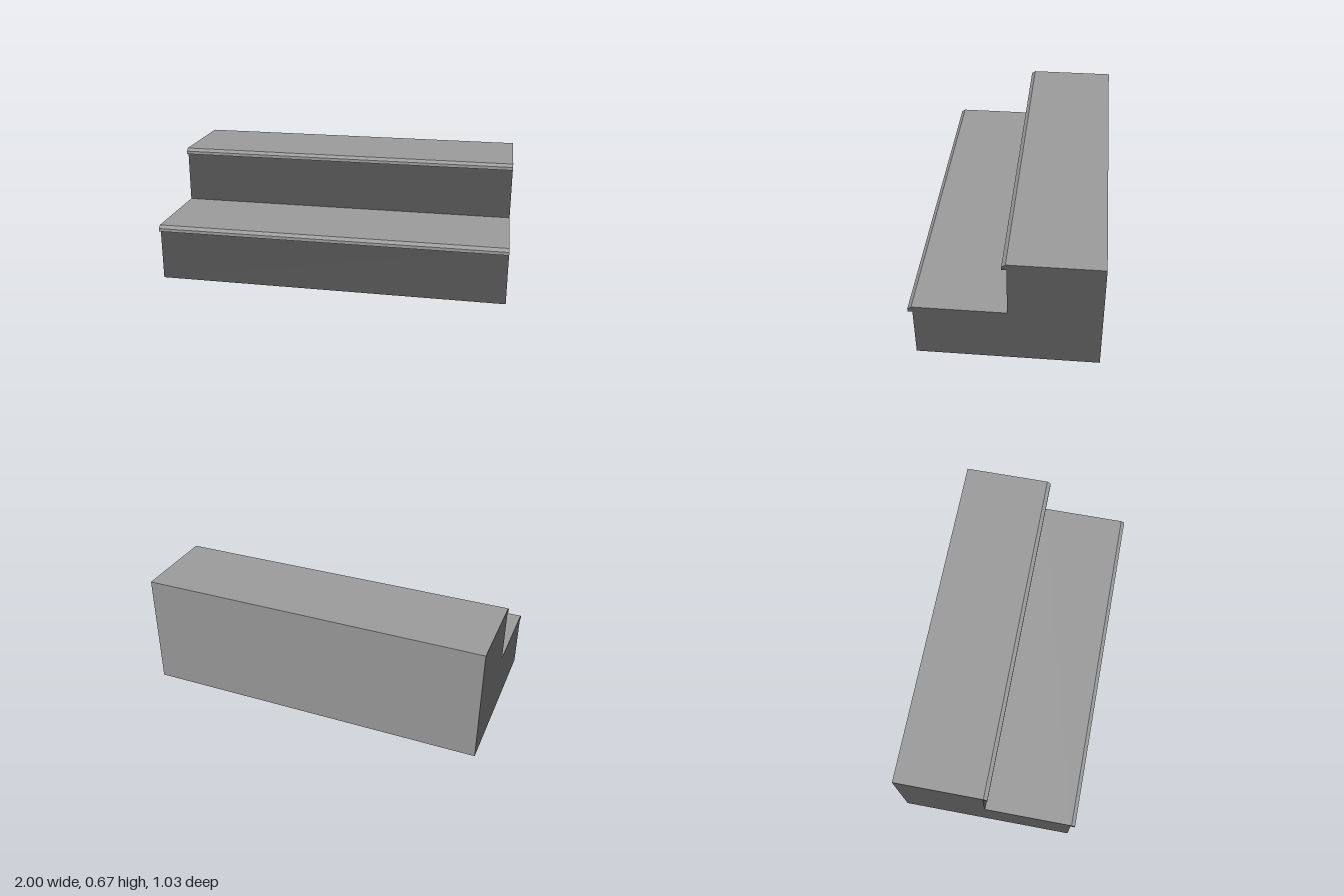
import * as THREE from 'three';

const WIDTH = 2;
const BACK = -0.513;

// Extrude a (z, y) profile across the full width, centred on x = 0
function prism(points) {
  const shape = new THREE.Shape(points.map(([z, y]) => new THREE.Vector2(z, y)));
  const geometry = new THREE.ExtrudeGeometry(shape, { depth: WIDTH, bevelEnabled: false });
  geometry.rotateY(-Math.PI / 2);
  geometry.translate(WIDTH / 2, 0, 0);
  return geometry;
}

export function createModel() {
  const darkGrey = new THREE.MeshStandardMaterial({ color: 0x555555 });
  darkGrey.name = 'dark grey';
  const lightGrey = new THREE.MeshStandardMaterial({ color: 0x999999 });
  lightGrey.name = 'light grey';

  const model = new THREE.Group();
  model.name = 'steps';

  const steps = [
    { riser: 0.488, top: 0.333 },
    { riser: -0.013, top: 0.667 },
  ];
  const [low, high] = steps;

  // Solid stepped body: risers and ends dark, treads, back and underside light
  const bodyGeometry = prism([
    [BACK, 0], [low.riser, 0], [low.riser, low.top],
    [high.riser, low.top], [high.riser, high.top], [BACK, high.top],
  ]);
  bodyGeometry.clearGroups();
  const normal = bodyGeometry.attributes.normal;
  for (let i = 0; i < normal.count; i += 3) {
    const dark = Math.abs(normal.getX(i)) > 0.5 || normal.getZ(i) > 0.5;
    bodyGeometry.addGroup(i, 3, dark ? 0 : 1);
  }
  const body = new THREE.Mesh(bodyGeometry, [darkGrey, lightGrey]);
  body.name = 'steppedBody';
  model.add(body);

  // Chamfered nosing along the front edge of each tread
  steps.forEach(({ riser, top }, i) => {
    const geometry = prism([
      [riser, top - 0.033], [riser + 0.026, top - 0.033],
      [riser + 0.026, top - 0.015], [riser + 0.005, top], [riser, top],
    ]);
    const nosing = new THREE.Mesh(geometry, [darkGrey, lightGrey]);
    nosing.name = i === 0 ? 'lowerNosing' : 'upperNosing';
    model.add(nosing);
  });

  return model;
}
